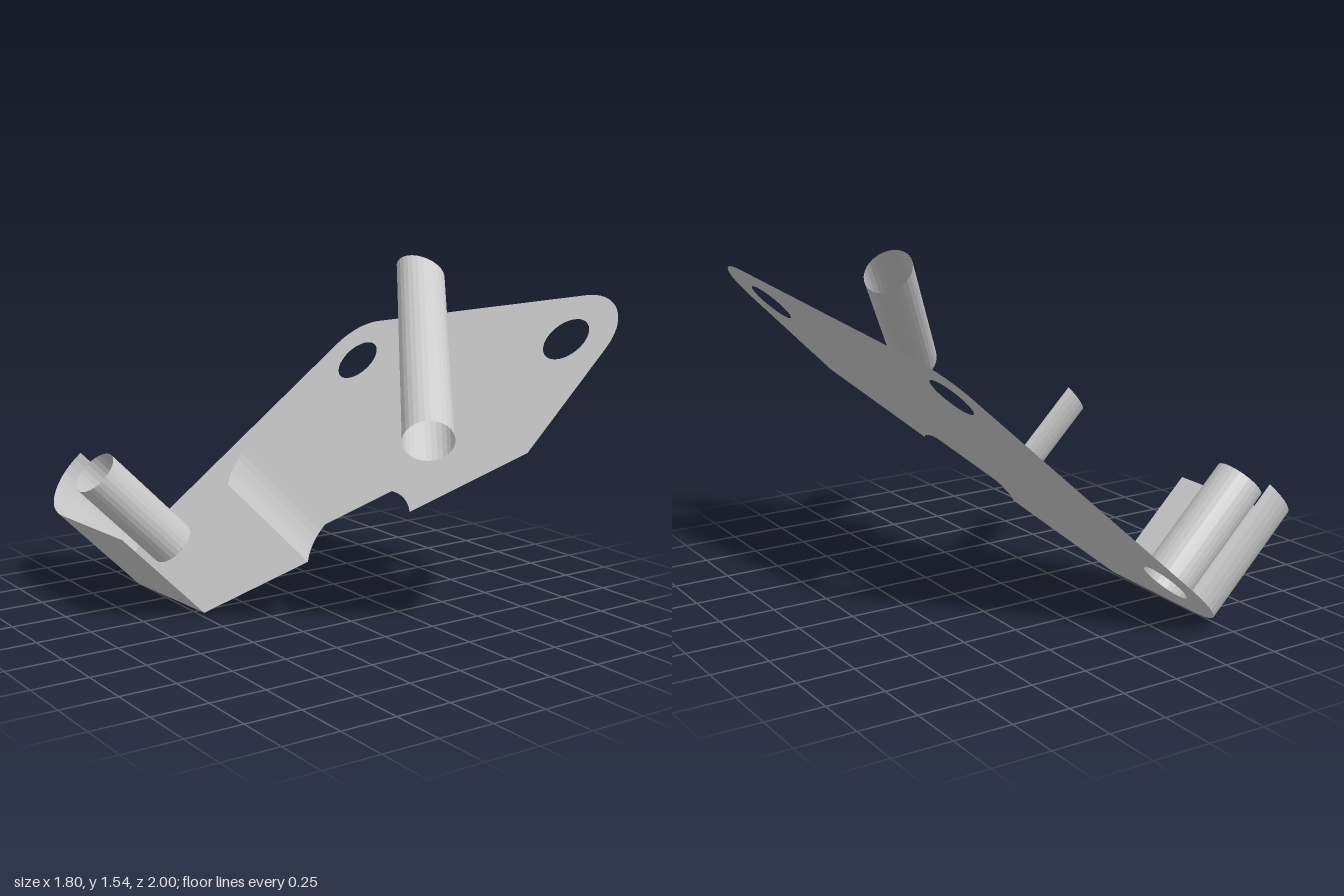
import * as THREE from 'three';

const material = new THREE.MeshStandardMaterial({
  color: 0xcccccc, flatShading: true, side: THREE.DoubleSide,
});
const rad = THREE.MathUtils.degToRad;
const DEPTH = 0.55;   // height of the walls above the plate
const HOLE_R = 0.11;
const CORNER_R = 0.245;

// Plate coordinates: x across, y up the slope, z away from the plate
const corners = [[0.757, 1.757], [-0.433, 1.443], [-0.755, 0.255]];

// Points on an arc, angles in degrees
function arc([cx, cy], r, from, to, n = 10) {
  const points = [];
  for (let i = 0; i <= n; i++) {
    const a = rad(from + (to - from) * i / n);
    points.push(new THREE.Vector2(cx + r * Math.cos(a), cy + r * Math.sin(a)));
  }
  return points;
}

// Thin wall standing on a line of points
function wall(points, height) {
  const geometry = new THREE.PlaneGeometry(1, 1, points.length - 1, 1);
  const pos = geometry.attributes.position;
  for (let i = 0; i < pos.count; i++) {
    const p = points[i % points.length];
    pos.setXYZ(i, p.x, p.y, i < points.length ? height : 0);
  }
  geometry.computeVertexNormals();
  return geometry;
}

export function createModel() {
  const model = new THREE.Group();
  model.name = 'bracket';
  const body = new THREE.Group();
  body.name = 'slopedBody';
  model.add(body);

  const add = (name, geometry) => {
    const mesh = new THREE.Mesh(geometry, material);
    mesh.name = name;
    body.add(mesh);
    return mesh;
  };

  // Plate outline: three rounded corners and a clipped round notch
  const lowerCorner = arc(corners[2], CORNER_R, 165, 272, 12);
  const lowerEnd = new THREE.Vector2(-0.175, 0.028);
  const notchCentre = [0.42, 0.597];
  const notchLower = arc(notchCentre, 0.26, 221, 177, 6);
  const notchUpper = arc(notchCentre, 0.26, 93, 49, 6);
  const plate = new THREE.Shape([
    ...arc(corners[0], CORNER_R, -2, 105, 12),
    ...arc(corners[1], CORNER_R, 105, 165, 8),
    ...lowerCorner, lowerEnd,
    ...notchLower, ...notchUpper,
    new THREE.Vector2(0.985, 1.195),
  ]);
  for (const c of corners) {
    plate.holes.push(new THREE.Path(arc(c, HOLE_R, 360, 0, 32).slice(0, -1)));
  }
  add('plate', new THREE.ShapeGeometry(plate));

  // Walls folded up from the lower edge and the notch
  add('edgeWall', wall([...lowerCorner, lowerEnd], DEPTH));
  add('notchFlange', wall(notchLower, DEPTH));

  // Sleeve over the lower hole
  const sleeve = add('sleeve',
    new THREE.CylinderGeometry(HOLE_R, HOLE_R, DEPTH, 28, 1, true));
  sleeve.rotation.x = Math.PI / 2;
  sleeve.position.set(...corners[2], DEPTH / 2);

  // Long cross tube, its upper end cut parallel to the plate edge
  const length = 1.143;
  const tube = new THREE.CylinderGeometry(0.106, 0.106, length, 28, 1, true);
  const pos = tube.attributes.position;
  for (let i = 0; i < pos.count; i++) {
    if (pos.getY(i) > 0) pos.setY(i, length / 2 - pos.getX(i) * Math.tan(rad(30)));
  }
  tube.computeVertexNormals();
  const crossTube = add('crossTube', tube);
  crossTube.rotation.z = Math.PI / 4;
  crossTube.position.set(0.385, 1.393, 0.283);

  // Lay the body on its 45 degree slope
  const k = Math.SQRT1_2;
  body.quaternion.setFromRotationMatrix(new THREE.Matrix4().makeBasis(
    new THREE.Vector3(0, 0, 1),
    new THREE.Vector3(k, k, 0),
    new THREE.Vector3(-k, k, 0),
  ));
  body.position.set(-0.51, -0.005, 0);
  return model;
}
